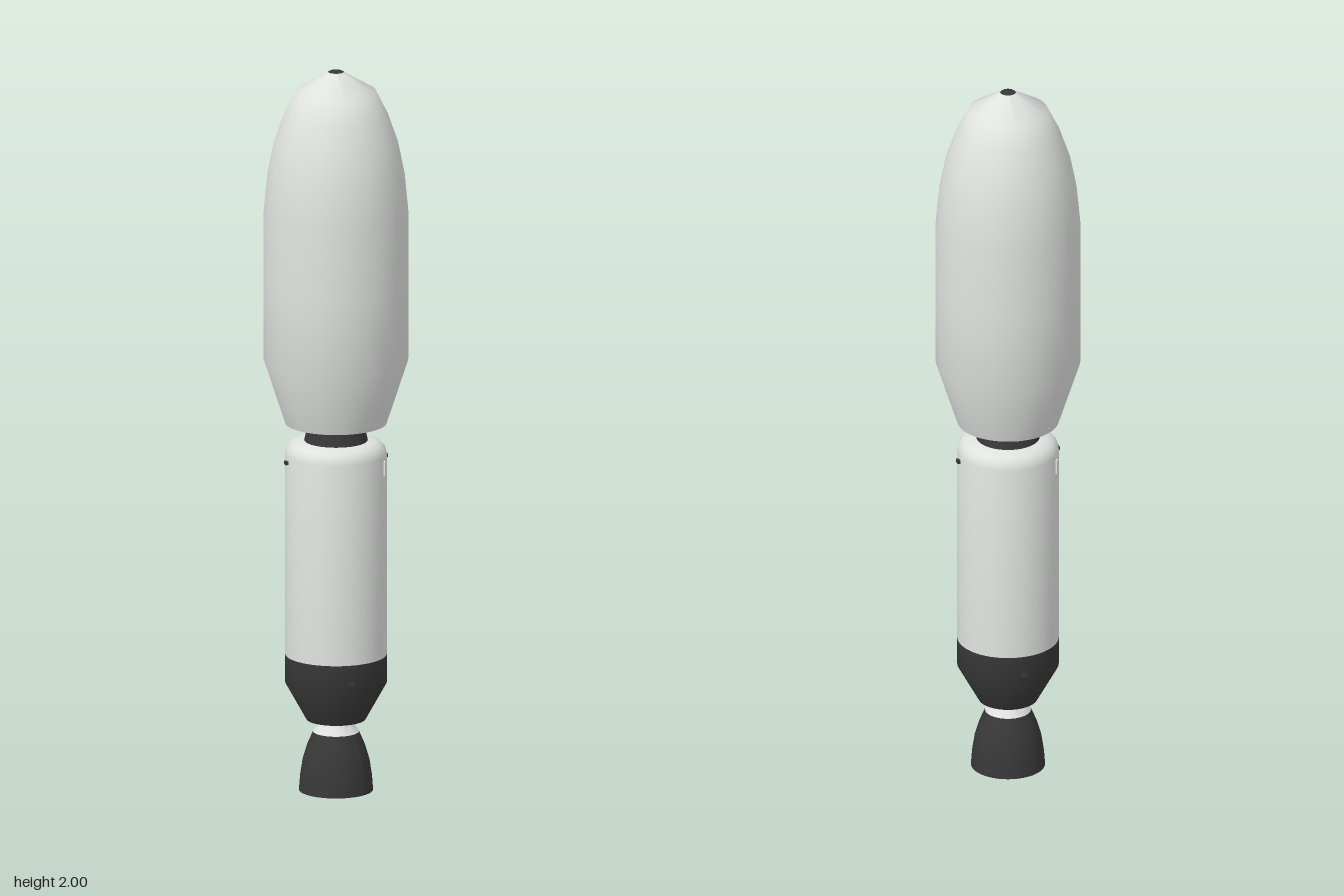
import * as THREE from 'three';
import { toCreasedNormals } from 'three/addons/utils/BufferGeometryUtils.js';

const SEGMENTS = 64;

function paint(name, color, side = THREE.FrontSide) {
  const material = new THREE.MeshStandardMaterial({ color, side });
  material.name = name;
  return material;
}

export function createModel() {
  const rocket = new THREE.Group();
  rocket.name = 'upperStage';

  const white = paint('white', 0xe0e2e0, THREE.DoubleSide);
  const dark = paint('charcoal', 0x383838, THREE.DoubleSide);

  // Turned part from a [radius, height] profile listed bottom to top
  function turned(name, material, profile) {
    const points = profile.map(([r, y]) => new THREE.Vector2(r, y));
    const geometry = toCreasedNormals(new THREE.LatheGeometry(points, SEGMENTS), 0.7);
    const mesh = new THREE.Mesh(geometry, material);
    mesh.name = name;
    rocket.add(mesh);
  }

  // Small box on the hull, repeated on the opposite side
  function hullPair(name, material, angle, y, radius, size) {
    for (const turn of [0, Math.PI]) {
      const a = angle + turn;
      const mesh = new THREE.Mesh(new THREE.BoxGeometry(...size), material);
      mesh.name = name;
      mesh.position.set(Math.sin(a) * radius, y, Math.cos(a) * radius);
      mesh.rotation.y = a;
      rocket.add(mesh);
    }
  }

  // Engine: open bell and the throat above it
  turned('engineNozzle', dark, [
    [0.1, 0], [0.097, 0.04], [0.09, 0.085], [0.078, 0.125], [0.062, 0.162],
  ]);
  turned('engineThroat', white, [
    [0, 0.158], [0.062, 0.162], [0.05, 0.178], [0.036, 0.198], [0.036, 0.21],
  ]);

  // Dark thrust section and white tank
  turned('thrustSection', dark, [[0, 0.197], [0.08, 0.197], [0.137, 0.3], [0.137, 0.378]]);
  turned('tank', white, [
    [0.137, 0.378], [0.137, 0.935], [0.133, 0.952], [0.122, 0.965], [0.105, 0.973], [0, 0.975],
  ]);

  // Payload adapter, reaching just inside the fairing
  turned('payloadAdapter', dark, [[0.086, 0.972], [0.083, 0.985], [0.075, 1.02], [0.075, 1.042], [0, 1.042]]);

  // Fairing shell with a recessed floor and a dark nose cap
  turned('fairingFloor', white, [[0, 1.04], [0.143, 1.04]]);
  turned('fairing', white, [
    [0.137, 1.022], [0.195, 1.2], [0.196, 1.4], [0.195, 1.61], [0.185, 1.715],
    [0.168, 1.8], [0.14, 1.88], [0.107, 1.946], [0.02, 1.998],
  ]);
  turned('noseCap', dark, [[0.021, 1.998], [0.018, 2], [0, 2]]);

  // Hull fittings
  hullPair('upperThruster', dark, 1.17, 0.92, 0.139, [0.016, 0.009, 0.012]);
  hullPair('lowerThruster', dark, -0.4, 0.325, 0.139, [0.016, 0.009, 0.012]);
  hullPair('accessPanel', white, 0.53, 0.905, 0.137, [0.012, 0.04, 0.009]);

  return rocket;
}
